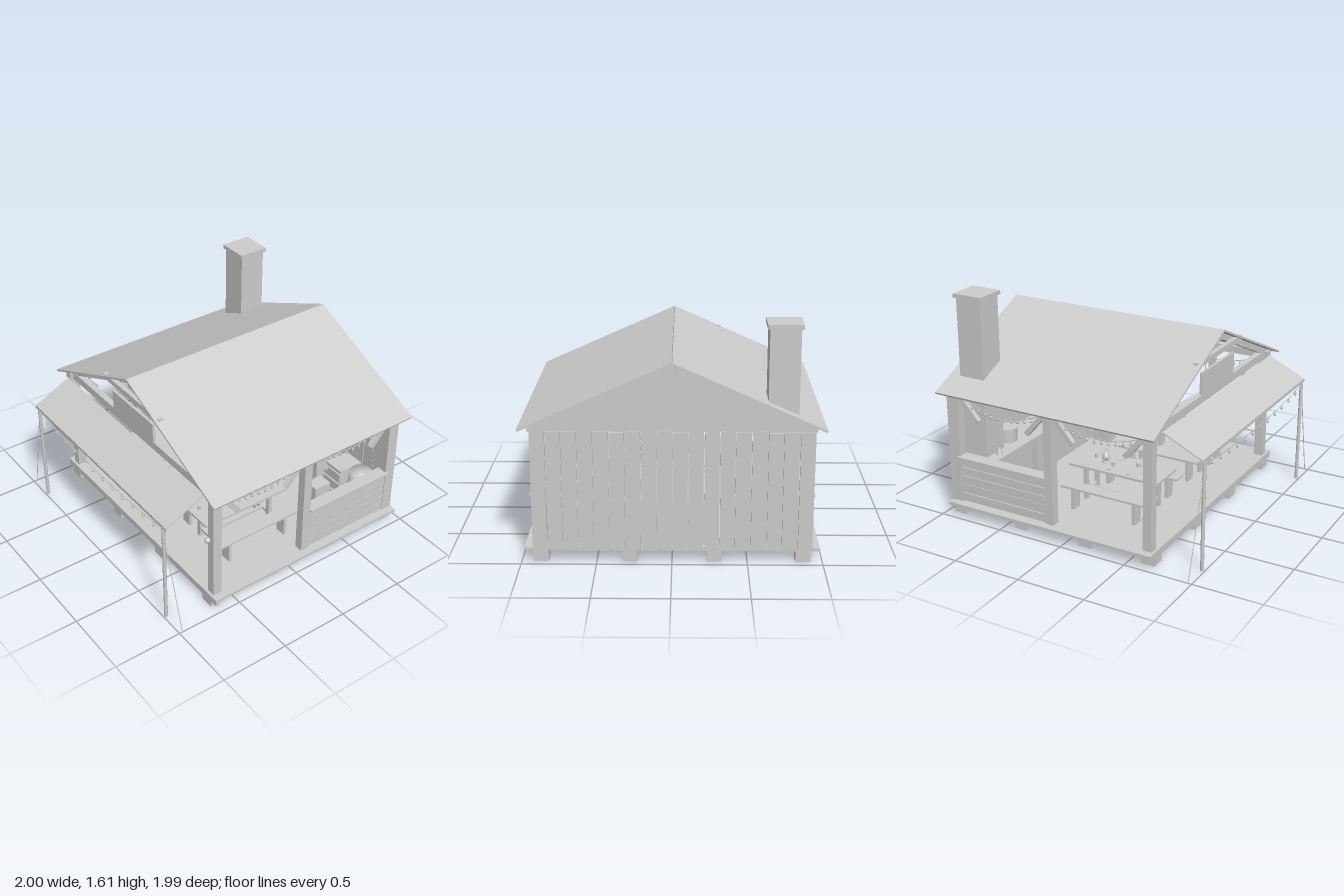
import * as THREE from 'three';

export function createModel() {
  const root = new THREE.Group();
  const paleGrey = new THREE.MeshStandardMaterial({ color: 0xcccccc });
  const paleGreyThin = paleGrey;
  paleGreyThin.side = THREE.DoubleSide;
  let seed = 7;
  const rand = () => (seed = (seed * 16807) % 2147483647) / 2147483647;

  const add = (name, geo, x = 0, y = 0, z = 0) => {
    const m = new THREE.Mesh(geo, paleGrey);
    m.name = name;
    m.position.set(x, y, z);
    root.add(m);
    return m;
  };
  // box given by its limits on each axis
  const box = (name, x0, x1, y0, y1, z0, z1) =>
    add(name, new THREE.BoxGeometry(x1 - x0, y1 - y0, z1 - z0), (x0 + x1) / 2, (y0 + y1) / 2, (z0 + z1) / 2);
  const cyl = (name, x, y0, z, h, rTop, rBottom = rTop, sides = 20) =>
    add(name, new THREE.CylinderGeometry(rTop, rBottom, h, sides), x, y0 + h / 2, z);
  // straight member between two points; w along x, d along z before turning
  const beam = (name, a, b, w, d, round = false) => {
    const p = new THREE.Vector3(...a), q = new THREE.Vector3(...b);
    const len = p.distanceTo(q);
    const m = add(name, round ? new THREE.CylinderGeometry(w / 2, w / 2, len, 8) : new THREE.BoxGeometry(w, len, d));
    m.position.copy(p).add(q).multiplyScalar(0.5);
    m.quaternion.setFromUnitVectors(new THREE.Vector3(0, 1, 0), q.sub(p).normalize());
    return m;
  };
  // sagging cord with hanging bulbs
  const lightString = (a, b, sag, count) => {
    const p = new THREE.Vector3(...a), q = new THREE.Vector3(...b);
    const mid = p.clone().lerp(q, 0.5);
    mid.y -= sag * 2;
    const curve = new THREE.QuadraticBezierCurve3(p, mid, q);
    add('lightCord', new THREE.TubeGeometry(curve, 24, 0.003, 5));
    for (let i = 0; i < count; i++) {
      const c = curve.getPoint((i + 0.9) / (count + 0.8));
      cyl('bulbSocket', c.x, c.y - 0.014, c.z, 0.014, 0.005, 0.005, 8);
      add('bulb', new THREE.SphereGeometry(0.009, 10, 8), c.x, c.y - 0.022, c.z).scale.y = 1.4;
    }
  };
  const lantern = (x, y, z) => {
    cyl('lanternBase', x, y, z, 0.018, 0.026, 0.03, 14);
    add('lanternGlass', new THREE.SphereGeometry(0.026, 14, 10), x, y + 0.04, z);
    cyl('lanternCap', x, y + 0.06, z, 0.02, 0.01, 0.022, 14);
    add('lanternHandle', new THREE.TorusGeometry(0.026, 0.0025, 6, 18, Math.PI), x, y + 0.075, z);
    for (const s of [-1, 1]) cyl('lanternFrame', x + s * 0.026, y + 0.01, z, 0.066, 0.0025, 0.0025, 6);
  };

  // deck and footings
  box('deck', -0.98, 0.98, 0.08, 0.1, -0.955, 0.68);
  box('deckFascia', -0.98, 0.98, 0.05, 0.1, 0.66, 0.685);
  for (const x of [-0.87, -0.28, 0.28, 0.87])
    for (const z of [0.635, 0.15, -0.375, -0.9]) box('footing', x - 0.05, x + 0.05, 0, 0.08, z - 0.05, z + 0.05);

  // roof slabs, ridge and chimney
  for (const s of [-1, 1]) {
    const slab = beam('roofSlope', [0, 1.373, -0.1425], [s * 0.997, 0.927, -0.1425], 0.014, 1.715);
    slab.updateMatrix();
  }
  box('ridgeBeam', -0.025, 0.025, 1.3, 1.36, -0.98, 0.69);
  box('chimney', -0.82, -0.62, 0.43, 1.58, -0.915, -0.715);
  box('chimneyCap', -0.835, -0.605, 1.58, 1.61, -0.93, -0.7);

  // side frames, low walls and side lights
  for (const s of [-1, 1]) {
    const side = (name, xa, xb, ...r) => box(name, Math.min(s * xa, s * xb), Math.max(s * xa, s * xb), ...r);
    for (const z of [0.633, -0.133, -0.905]) side('post', 0.862, 0.925, 0.1, 0.93, z - 0.033, z + 0.033);
    side('topPlate', 0.86, 0.92, 0.9, 0.955, -0.95, 0.68);
    for (const [z, d] of [[0.6, -1], [-0.1, 1], [-0.166, -1], [-0.872, 1]])
      beam('brace', [s * 0.893, 0.895, z + d * 0.005], [s * 0.893, 0.73, z + d * 0.15], 0.035, 0.035);
    for (let i = 0; i < 5; i++) {
      const y = 0.108 + i * 0.066;
      side('lowWallPlank', 0.9, 0.92, y, y + 0.06 + rand() * 0.004, -0.88, -0.166);
    }
    for (const z of [-0.18, -0.52, -0.86]) side('lowWallStud', 0.875, 0.9, 0.1, 0.44, z - 0.015, z + 0.015);
    side('lowWallCap', 0.85, 0.945, 0.438, 0.45, -0.885, -0.16);
    lightString([s * 0.9, 0.895, 0.6], [s * 0.9, 0.895, -0.1], 0.085, 12);
    lightString([s * 0.9, 0.895, -0.17], [s * 0.9, 0.895, -0.87], 0.085, 12);
  }

  // roof trusses
  for (const z of [0.633, -0.133, -0.9]) {
    box('tieBeam', -0.9, 0.9, 0.9, 0.96, z - 0.022, z + 0.022);
    box('kingPost', -0.022, 0.022, 0.96, 1.34, z - 0.02, z + 0.02);
    for (const s of [-1, 1]) {
      beam('rafter', [0, 1.342, z], [s * 0.93, 0.926, z], 0.045, 0.04);
      if (z < 0.5) beam('trussStrut', [0, 0.98, z], [s * 0.42, 1.15, z], 0.035, 0.035);
    }
  }
  box('collarBeam', -0.35, 0.35, 1.2, 1.238, 0.655, 0.69);

  // hanging board
  box('hangingBoard', -0.25, 0.25, 0.98, 1.14, 0.66, 0.68);
  for (const x of [-0.19, 0.19]) cyl('boardRod', x, 1.13, 0.67, 0.08, 0.004, 0.004, 6);

  // back wall planks and gable
  const planks = 18, pw = 1.86 / planks;
  for (let i = 0; i < planks; i++) {
    const x = -0.93 + i * pw, gap = 0.002 + rand() * 0.007;
    box('backPlank', x, x + pw - gap, 0.085, 0.9 + rand() * 0.02, -0.955 - rand() * 0.005, -0.938);
  }
  const gable = new THREE.Shape([[-0.94, 0.91], [0.94, 0.91], [0.94, 0.942], [0, 1.36], [-0.94, 0.942]].map(p => new THREE.Vector2(...p)));
  add('backGable', new THREE.ExtrudeGeometry(gable, { depth: 0.015, bevelEnabled: false }), 0, 0, -0.955);
  box('backRail', -0.87, 0.87, 0.8, 0.84, -0.938, -0.915);

  // awning with valance, poles and guy ropes
  beam('awning', [0, 0.932, 0.7], [0, 0.8, 0.985], 1.7, 0.008);
  box('awningValance', -0.85, 0.85, 0.78, 0.802, 0.981, 0.987);
  for (const s of [-1, 1]) {
    cyl('awningPole', s * 0.81, 0, 0.98, 0.79, 0.013, 0.013, 10);
    beam('guyRope', [s * 0.815, 0.73, 0.983], [s * 0.997, 0.005, 0.975], 0.006, 0.006, true);
  }
  lightString([-0.81, 0.765, 0.98], [0.81, 0.765, 0.98], 0.05, 12);

  // tables with benches and tableware
  for (const s of [-1, 1]) {
    const cx = s < 0 ? -0.367 : 0.435;
    box('tableTop', cx - 0.145, cx + 0.145, 0.363, 0.38, -0.23, 0.48);
    for (const z of [0.375, -0.13]) {
      for (const dx of [-0.075, 0.075]) box('tableLeg', cx + dx - 0.016, cx + dx + 0.016, 0.1, 0.363, z - 0.014, z + 0.014);
      box('tableCrossbar', cx - 0.1, cx + 0.1, 0.335, 0.363, z - 0.01, z + 0.01);
      box('tableLowBar', cx - 0.08, cx + 0.08, 0.155, 0.175, z - 0.01, z + 0.01);
    }
    box('tableStretcher', cx - 0.01, cx + 0.01, 0.155, 0.173, -0.13, 0.375);
    for (const dx of [-0.24, 0.24]) {
      box('benchSeat', cx + dx - 0.052, cx + dx + 0.052, 0.257, 0.272, -0.21, 0.46);
      for (const z of [0.37, -0.12]) box('benchLeg', cx + dx - 0.04, cx + dx + 0.04, 0.1, 0.257, z - 0.012, z + 0.012);
    }
    [0.4, 0.22, 0.06, -0.12].forEach((z, i) => {
      for (const dx of [-0.09, 0.09]) {
        cyl('plate', cx + dx, 0.38, z, 0.007, 0.036, 0.025, 18);
        if ((i + (dx > 0)) % 2 === 0) cyl('mug', cx + dx * 0.4, 0.38, z + 0.01, 0.03, 0.012, 0.011, 12);
      }
    });
  }
  lantern(-0.367, 0.38, -0.01);

  // hearth, kitchen counter and wall shelf
  box('hearth', -0.86, -0.38, 0.1, 0.41, -0.9, -0.64);
  box('hearthTop', -0.865, -0.29, 0.41, 0.435, -0.915, -0.62);
  box('counter', -0.28, 0.42, 0.1, 0.405, -0.9, -0.66);
  box('counterTop', -0.295, 0.44, 0.405, 0.42, -0.915, -0.64);
  box('wallShelf', -0.3, 0.44, 0.662, 0.676, -0.93, -0.83);
  for (const x of [-0.19, -0.06, 0.065, 0.2, 0.33]) {
    cyl('jar', x, 0.676, -0.865, 0.055, 0.02, 0.02, 14);
    cyl('jarLid', x, 0.731, -0.865, 0.01, 0.022, 0.022, 14);
  }
  for (const x of [-0.25, 0.39]) box('shelfBracket', x - 0.008, x + 0.008, 0.6, 0.662, -0.935, -0.86);
  for (const [x, y, r] of [[-0.49, 0.435, 0.075], [0.28, 0.42, 0.062]]) {
    cyl('pot', x, y, -0.775, 0.1, r, r * 0.97, 28);
    cyl('potLid', x, y + 0.1, -0.775, 0.008, r * 1.06, r * 1.06, 28);
  }
  cyl('oilBottle', -0.735, 0.435, -0.67, 0.055, 0.008, 0.026, 14);

  // firewood stack
  for (let row = 0; row < 3; row++)
    for (let i = 0; i < 4; i++) {
      const log = cyl('firewood', -0.77, 0, -0.58 + i * 0.042, 0.18, 0.02, 0.02, 12);
      log.position.y = 0.121 + row * 0.041;
      log.rotation.z = Math.PI / 2;
    }

  // crates, barrel and sacks
  box('crate', 0.5, 0.66, 0.1, 0.375, -0.88, -0.68);
  for (const y of [0.1, 0.19, 0.28]) box('crateSlat', 0.49, 0.665, y, y + 0.07, -0.68, -0.668);
  box('smallCrate', 0.49, 0.6, 0.1, 0.255, -0.64, -0.5);
  const barrel = [[0, 0], [0.08, 0], [0.092, 0.09], [0.094, 0.155], [0.092, 0.22], [0.08, 0.305], [0, 0.305]];
  add('barrel', new THREE.LatheGeometry(barrel.map(p => new THREE.Vector2(...p)), 24), 0.767, 0.1, -0.78);
  for (const y of [0.16, 0.33])
    add('barrelHoop', new THREE.TorusGeometry(0.09, 0.005, 6, 28), 0.767, y, -0.78).rotation.x = Math.PI / 2;
  for (const [x, z] of [[0.785, -0.58], [0.72, -0.5]]) {
    add('sack', new THREE.SphereGeometry(0.06, 16, 12), x, 0.165, z).scale.y = 1.08;
    add('sackKnot', new THREE.SphereGeometry(0.02, 12, 8), x, 0.24, z);
  }

  // round lamp on the front post
  add('postLamp', new THREE.SphereGeometry(0.021, 16, 12), 0.873, 0.565, 0.677);

  return root;
}
